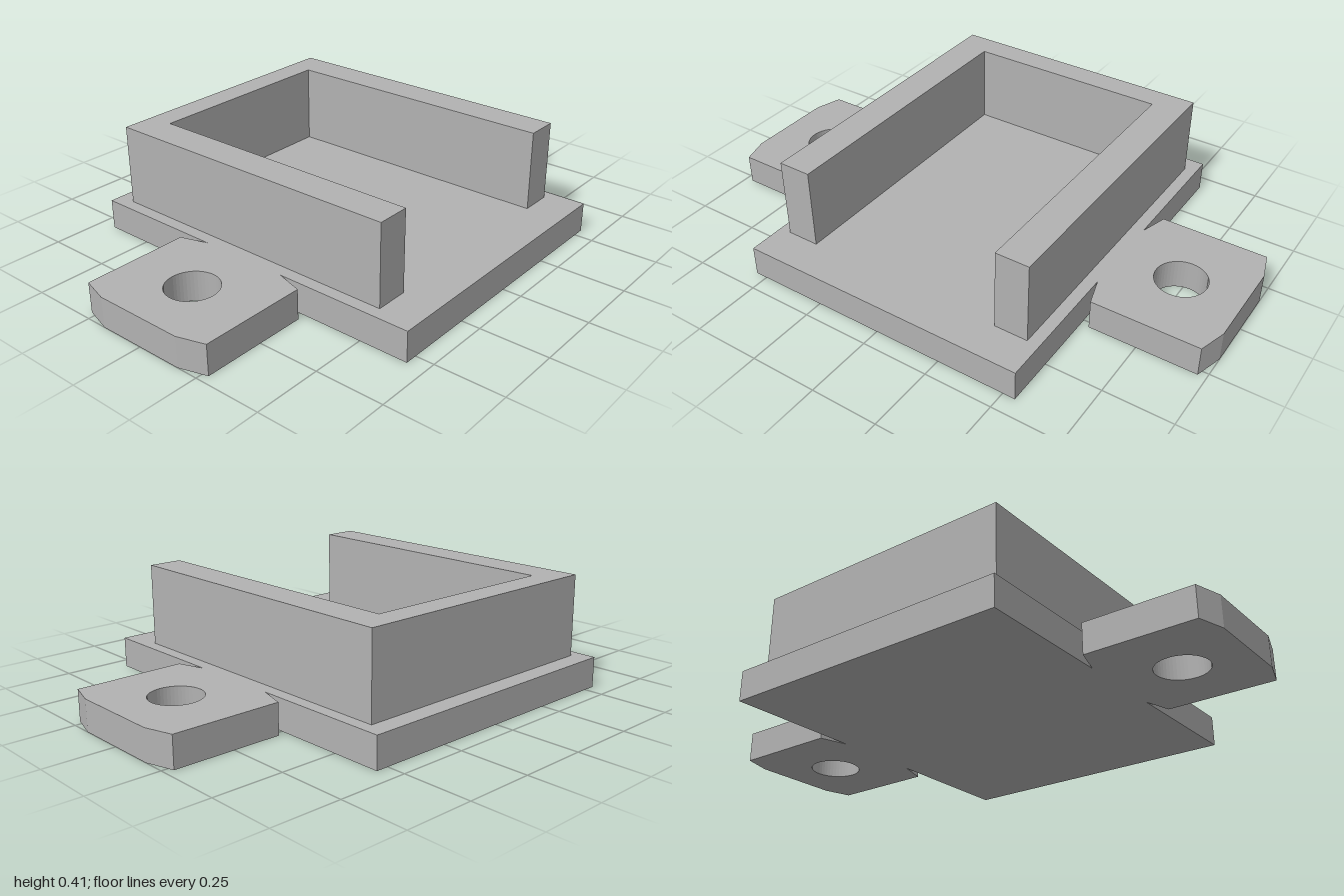
import * as THREE from 'three';

// Extrude a plan outline (x, -z) upward from height y
function plate(name, points, holes, y, height, material) {
  const shape = new THREE.Shape(points.map(([x, v]) => new THREE.Vector2(x, v)));
  for (const [x, v, r] of holes) {
    shape.holes.push(new THREE.Path().absarc(x, v, r, 0, Math.PI * 2, true));
  }
  const geometry = new THREE.ExtrudeGeometry(shape, { depth: height, bevelEnabled: false, curveSegments: 24 });
  geometry.rotateX(-Math.PI / 2);
  geometry.translate(0, y, 0);
  const mesh = new THREE.Mesh(geometry, material);
  mesh.name = name;
  return mesh;
}

export function createModel() {
  const group = new THREE.Group();
  group.name = 'mountingBracket';
  const grey = new THREE.MeshStandardMaterial({ color: 0xb2b2b2 });
  grey.name = 'grey';

  // Base with a chamfered, drilled ear on each side; one quarter is mirrored twice
  const baseTop = 0.112;
  const quarter = [[1, 0.17], [0.97, 0.272], [0.575, 0.272], [0.545, 0.17], [0.545, 0.682]];
  const half = [...quarter, ...quarter.map(([x, v]) => [-x, v]).reverse()];
  const outline = [...half, ...half.map(([x, v]) => [x, -v]).reverse()];
  const holes = [[0.773, 0, 0.093], [-0.773, 0, 0.093]];
  group.add(plate('baseWithEars', outline, holes, 0, baseTop, grey));

  // U-shaped wall, open at the front
  const wall = [
    [-0.5, -0.542], [-0.377, -0.542], [-0.377, 0.517], [0.377, 0.517],
    [0.377, -0.542], [0.5, -0.542], [0.5, 0.613], [-0.5, 0.613],
  ];
  group.add(plate('wall', wall, [], baseTop, 0.298, grey));

  return group;
}
